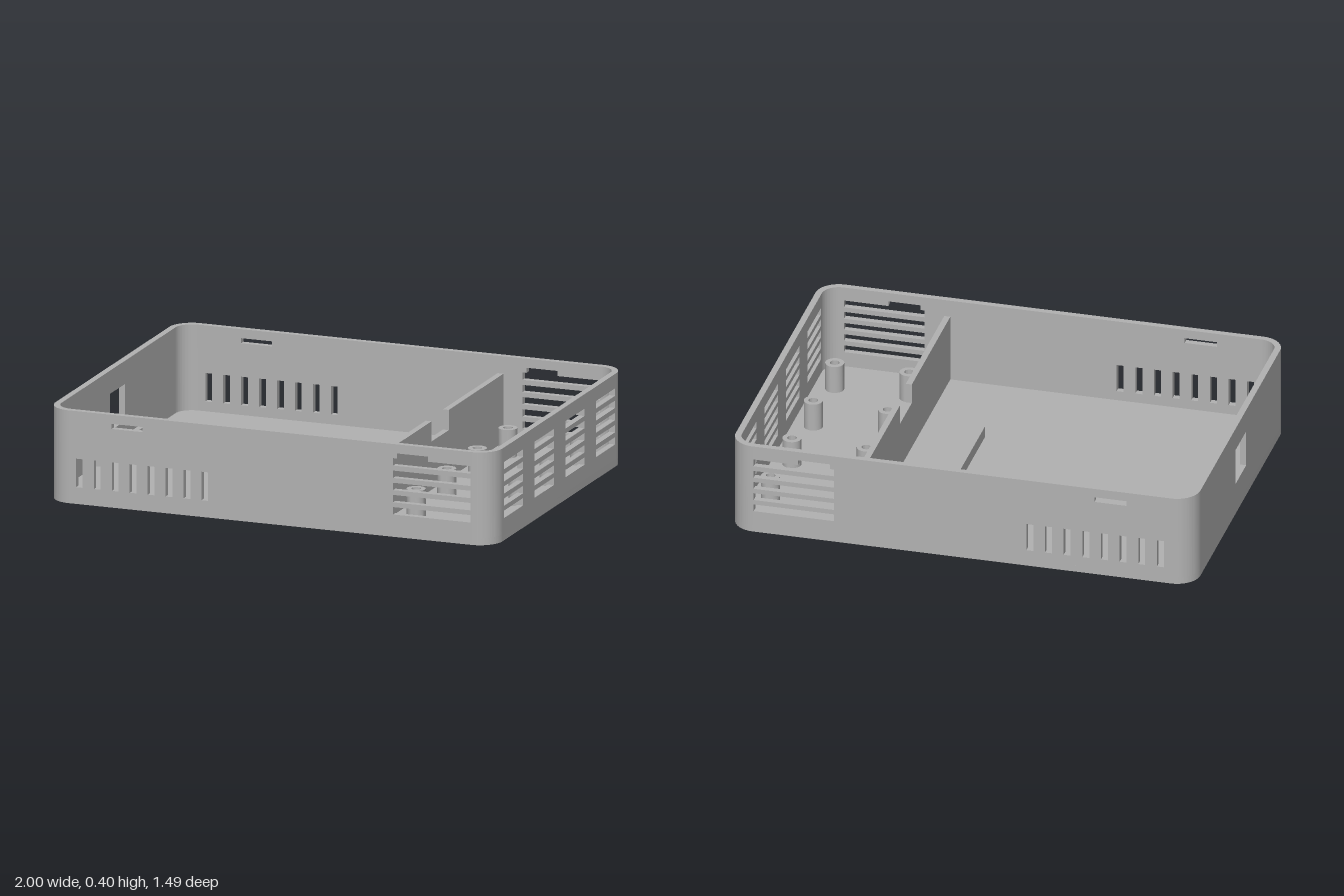
import * as THREE from 'three';
import { toCreasedNormals } from 'three/addons/utils/BufferGeometryUtils.js';

const W = 1, D = 0.745, H = 0.4;      // half width, half depth, height
const R = 0.1, T = 0.027, FLOOR = 0.03; // corner radius, wall, floor thickness

const grey = new THREE.MeshStandardMaterial({ color: 0xb2b2b2 });
grey.name = 'grey plastic';

function add(parent, name, geometry, x = 0, y = 0, z = 0) {
  const mesh = new THREE.Mesh(geometry, grey);
  mesh.name = name;
  mesh.position.set(x, y, z);
  parent.add(mesh);
  return mesh;
}

const poly = (pts, Type = THREE.Path) => new Type(pts.map(([x, y]) => new THREE.Vector2(x, y)));
const rect = (x0, x1, y0, y1, Type) => poly([[x0, y0], [x1, y0], [x1, y1], [x0, y1]], Type);

function extrude(shape, depth) {
  const geo = new THREE.ExtrudeGeometry(shape, { depth, bevelEnabled: false, curveSegments: 16 });
  return toCreasedNormals(geo, 0.5);
}

// Flat outline extruded upwards
const slab = (shape, depth) => extrude(shape, depth).rotateX(-Math.PI / 2);

function roundedRect() {
  const s = new THREE.Shape();
  s.absarc(W - R, D - R, R, 0, Math.PI / 2);
  s.absarc(R - W, D - R, R, Math.PI / 2, Math.PI);
  s.absarc(R - W, R - D, R, Math.PI, Math.PI * 1.5);
  s.absarc(W - R, R - D, R, Math.PI * 1.5, Math.PI * 2);
  s.closePath();
  return s;
}

// Upright wall panel with cut-outs
function panel(half, holes) {
  const s = rect(-half, half, FLOOR, H, THREE.Shape);
  s.holes.push(...holes);
  return extrude(s, T);
}

// Horizontal louvre slots, numbered from the bottom
const louvres = (x0, x1, count) => Array.from({ length: count }, (_, i) =>
  rect(x0, x1, 0.096 + i * 0.0525, 0.128 + i * 0.0525));

function longWallHoles() {
  const holes = louvres(0.55, 0.897, 4);
  // Top louvre joined with the lid clip slot
  holes.push(poly([[0.55, 0.307], [0.897, 0.307], [0.897, 0.339], [0.706, 0.339],
    [0.706, 0.361], [0.568, 0.361], [0.568, 0.339], [0.55, 0.339]]));
  holes.push(rect(-0.709, -0.57, 0.339, 0.361));
  for (let i = 0; i < 8; i++) {
    const x = -0.869 + i * 0.0803;
    holes.push(rect(x, x + 0.03, 0.072, 0.195));
  }
  return holes;
}

export function createModel() {
  const model = new THREE.Group();
  model.name = 'openEnclosure';

  // Floor in two layers, the lower one with round foot recesses
  const base = roundedRect();
  for (const sx of [-1, 1]) for (const sz of [-1, 1]) {
    const hole = new THREE.Path();
    hole.absarc(sx * 0.84, sz * 0.585, 0.057, 0, Math.PI * 2);
    base.holes.push(hole);
  }
  add(model, 'floorWithFootRecesses', slab(base, 0.012));
  add(model, 'floorTop', slab(roundedRect(), FLOOR - 0.012), 0, 0.012);

  // Long walls
  add(model, 'frontWall', panel(W - R, longWallHoles()), 0, 0, D - T);
  add(model, 'backWall', panel(W - R, longWallHoles()), 0, 0, -D);

  // Short walls
  const vents = [-0.52, -0.174, 0.174, 0.52].flatMap(c => louvres(c - 0.109, c + 0.109, 5));
  add(model, 'ventedSideWall', panel(D - R, vents).rotateY(Math.PI / 2), W - T);
  add(model, 'socketSideWall',
    panel(D - R, [rect(-0.096, 0.075, 0.14, 0.3)]).rotateY(Math.PI / 2), -W);

  // Rounded corner walls
  [[1, 1], [-1, 1], [-1, -1], [1, -1]].forEach(([sx, sy], i) => {
    const a = i * Math.PI / 2, b = a + Math.PI / 2;
    const s = new THREE.Shape();
    s.absarc(0, 0, R, a, b, false);
    s.absarc(0, 0, R - T, b, a, true);
    s.closePath();
    add(model, 'cornerWall', slab(s, H - FLOOR), sx * (W - R), FLOOR, -sy * (D - R));
  });

  // Partition with a cable notch
  const e = D - T;
  const divider = poly([[-e, FLOOR], [e, FLOOR], [e, 0.325], [0.1, 0.325], [0.1, 0.238],
    [-0.094, 0.238], [-0.094, 0.325], [-e, 0.325]], THREE.Shape);
  add(model, 'partition', extrude(divider, 0.026).rotateY(Math.PI / 2), 0.439);

  // Low locating ribs
  for (const x of [-0.96, 0.181]) {
    add(model, 'locatingRib', new THREE.BoxGeometry(0.026, 0.05, 0.53), x, FLOOR + 0.025, -0.004);
  }

  // Hollow screw posts
  const profile = [[0.04, FLOOR], [0.04, 0.152], [0.02, 0.152], [0.02, FLOOR]]
    .map(([x, y]) => new THREE.Vector2(x, y));
  const post = toCreasedNormals(new THREE.LatheGeometry(profile, 28), 0.5);
  for (const x of [0.563, 0.883]) for (const z of [-0.522, -0.176, 0.17, 0.516]) {
    add(model, 'screwPost', post, x, 0, z);
  }
  return model;
}
